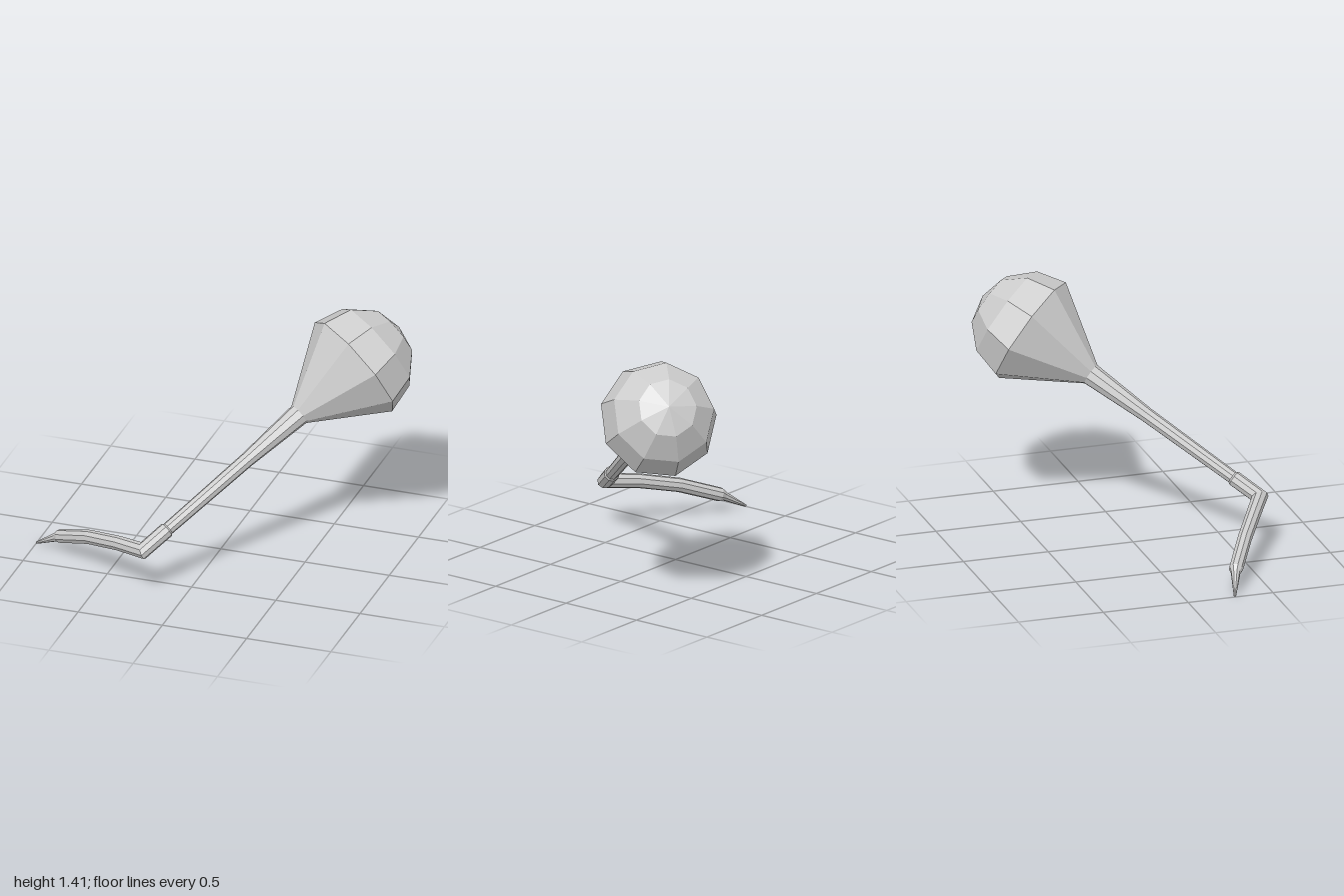
import * as THREE from 'three';

const SIDES = 9;
const V = (x, y, z) => new THREE.Vector3(x, y, z);

// Rings of points along a path of [centre, radius], mitred at each bend
function makeRings(path, up) {
  const rings = [];
  const u = up.clone();
  let dirIn = path[1][0].clone().sub(path[0][0]).normalize();
  u.addScaledVector(dirIn, -u.dot(dirIn)).normalize();
  path.forEach(([centre, radius], i) => {
    const dirOut = i < path.length - 1
      ? path[i + 1][0].clone().sub(centre).normalize() : dirIn.clone();
    const mitre = dirIn.clone().add(dirOut).normalize();
    const ring = [];
    for (let k = 0; k < SIDES; k++) {
      const p = u.clone().applyAxisAngle(dirIn, (k / SIDES) * Math.PI * 2).multiplyScalar(radius);
      p.addScaledVector(dirIn, -p.dot(mitre) / dirIn.dot(mitre));
      ring.push(p.add(centre));
    }
    rings.push(ring);
    u.applyQuaternion(new THREE.Quaternion().setFromUnitVectors(dirIn, dirOut));
    dirIn = dirOut;
  });
  return rings;
}

// Skin joining consecutive rings
function skin(name, rings, material) {
  const pos = [], index = [];
  rings.forEach((ring) => ring.forEach((p) => pos.push(p.x, p.y, p.z)));
  for (let i = 0; i < rings.length - 1; i++) {
    for (let k = 0; k < SIDES; k++) {
      const n = (k + 1) % SIDES;
      const a = i * SIDES + k, b = i * SIDES + n, c = a + SIDES, d = b + SIDES;
      index.push(a, b, d, a, d, c);
    }
  }
  const geo = new THREE.BufferGeometry();
  geo.setAttribute('position', new THREE.Float32BufferAttribute(pos, 3));
  geo.setIndex(index);
  geo.computeVertexNormals();
  const mesh = new THREE.Mesh(geo, material);
  mesh.name = name;
  return mesh;
}

export function createModel() {
  const group = new THREE.Group();
  group.name = 'squeezeBulbWithBentTube';
  const material = new THREE.MeshStandardMaterial({
    color: 0xcccccc, flatShading: true, side: THREE.DoubleSide,
  });

  // Main axis: through the widest ring of the bulb, pointing to its pole
  const centre = V(0.66, 1.08, -0.39);
  const axis = V(0.555, 0.5, -0.663).normalize();
  const along = (t) => centre.clone().addScaledVector(axis, t);
  const R = 0.335;

  const path = [];
  // Domed bulb end
  for (let i = 0; i <= 3; i++) {
    const a = ((3 - i) / 3) * Math.PI / 2;
    path.push([along(R * Math.sin(a)), i === 0 ? 0 : R * Math.cos(a)]);
  }
  path.push(
    // Neck and straight shaft
    [along(-0.42), 0.064],
    [along(-0.81), 0.043],
    [along(-1.41), 0.037],
    [along(-1.42), 0.045],
    // Elbow and curved arm
    [along(-1.6), 0.044],
    [V(-0.4, 0.252, 0.58), 0.042],
    [V(-0.62, 0.195, 0.455), 0.041],
    [V(-0.835, 0.108, 0.335), 0.04],
    // Tapered tip
    [V(-0.86, 0.095, 0.325), 0.027],
    [V(-0.996, 0.012, 0.277), 0.007],
    [V(-0.997, 0.0115, 0.2767), 0],
  );

  const rings = makeRings(path, V(0.04, 0.25, 0.22));
  group.add(
    skin('bulb', rings.slice(0, 5), material),
    skin('shaft', rings.slice(4, 9), material),
    skin('curvedArm', rings.slice(8, 12), material),
    skin('tip', rings.slice(11), material),
  );
  return group;
}
